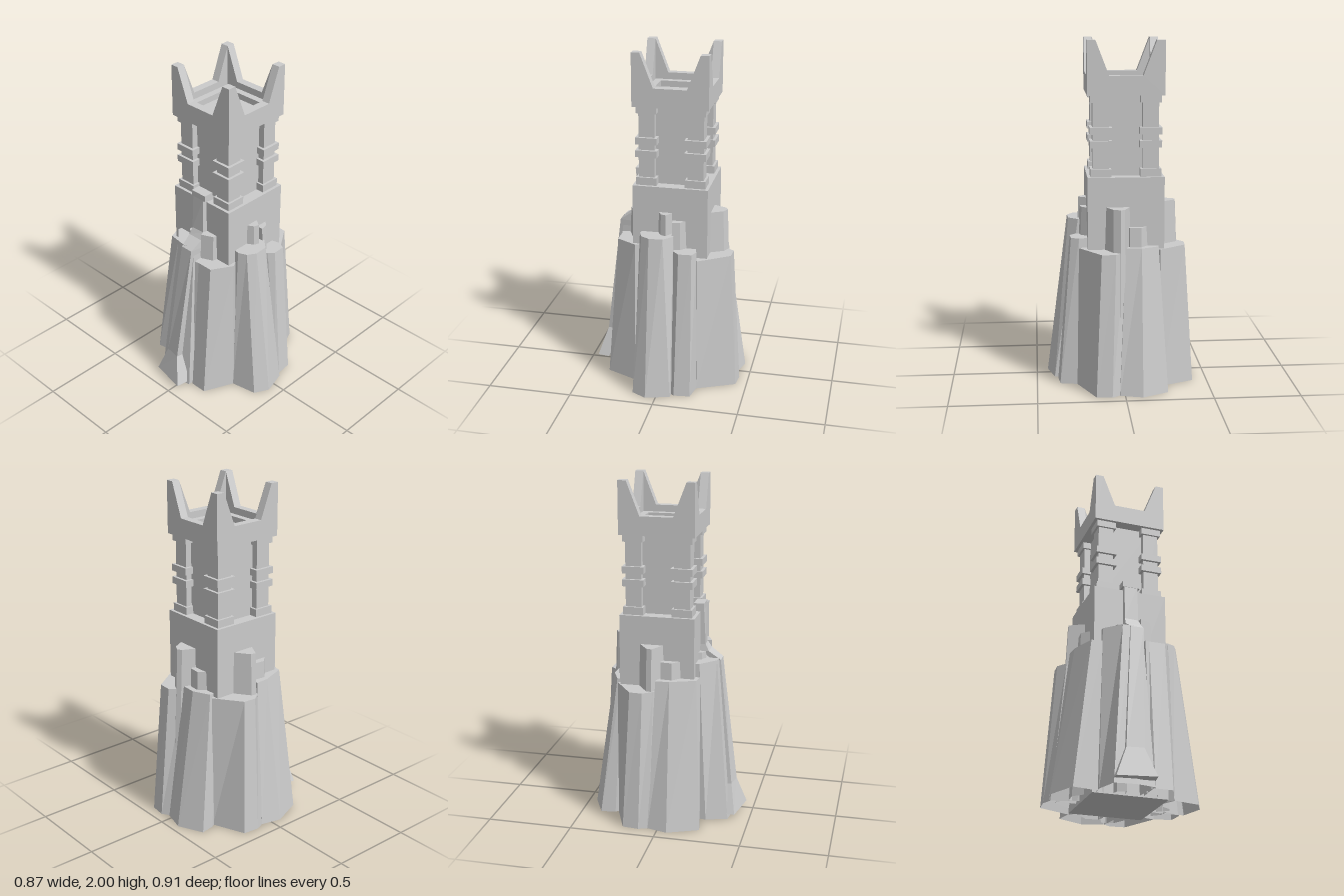
import * as THREE from 'three';

const CX = -0.017, CZ = -0.04, HALF = 0.218, WALL = 0.048;
const mat = new THREE.MeshStandardMaterial({ color: 0xcccccc, flatShading: true, side: THREE.DoubleSide });

function add(parent, geometry, name, x = 0, y = 0, z = 0) {
  const mesh = new THREE.Mesh(geometry, mat);
  mesh.name = name;
  mesh.position.set(x, y, z);
  parent.add(mesh);
  return mesh;
}

// box given by its width, depth and vertical range
function block(parent, name, w, d, y0, y1, x = 0, z = 0) {
  return add(parent, new THREE.BoxGeometry(w, y1 - y0, d), name, x, (y0 + y1) / 2, z);
}

function triangles(points) {
  const g = new THREE.BufferGeometry().setFromPoints(points);
  g.computeVertexNormals();
  return g;
}

// tapered rock: base and top outlines [x, z] running counter-clockwise, cap closed towards the tower axis
function rock(parent, name, height, base, top) {
  const b = base.map(([x, z]) => new THREE.Vector3(x, 0, z));
  const t = top.map(([x, z]) => new THREE.Vector3(x, height, z));
  const c = new THREE.Vector3(CX, height, CZ);
  const tris = [];
  for (let i = 0; i < b.length - 1; i++) {
    tris.push(b[i], b[i + 1], t[i + 1], b[i], t[i + 1], t[i], c, t[i], t[i + 1]);
  }
  add(parent, triangles(tris), name);
}

// slim rock leaning on the tower wall, slightly wider at the foot
function spike(parent, height, top) {
  const base = top.map(([x, z]) => [CX + (x - CX) * 1.15, CZ + (z - CZ) * 1.15]);
  rock(parent, 'rockSpike', height, base, top);
}

function buildTower() {
  const tower = new THREE.Group();
  tower.name = 'tower';
  tower.position.set(CX, 0, CZ);
  block(tower, 'towerShaft', HALF * 2, HALF * 2, 0, 1.235);
  block(tower, 'upperCore', 0.3, 0.3, 1.235, 1.7);

  // corner pillars with foot, two bands and capital
  for (const sx of [-1, 1]) for (const sz of [-1, 1]) {
    const pillar = new THREE.Group();
    pillar.name = 'cornerPillar';
    pillar.position.set(sx * 0.141, 0, sz * 0.141);
    tower.add(pillar);
    block(pillar, 'pillarShaft', 0.092, 0.092, 1.235, 1.695);
    for (const [y0, y1, w] of [[1.235, 1.28, 0.118], [1.4, 1.44, 0.125], [1.475, 1.515, 0.125], [1.655, 1.695, 0.118]]) {
      block(pillar, 'pillarBand', w, w, y0, y1);
    }
  }

  // crown walls rising to spikes at the corners
  const profile = new THREE.Shape([
    [-HALF, 1.695], [HALF, 1.695], [HALF, 2], [HALF - WALL, 2], [0.095, 1.805],
    [-0.095, 1.805], [-HALF + WALL, 2], [-HALF, 2],
  ].map(([x, y]) => new THREE.Vector2(x, y)));
  const wallGeo = new THREE.ExtrudeGeometry(profile, { depth: WALL, bevelEnabled: false });
  wallGeo.translate(0, 0, HALF - WALL);
  for (let i = 0; i < 4; i++) add(tower, wallGeo, 'crownWall').rotation.y = i * Math.PI / 2;

  // roof floor with a sunken square
  block(tower, 'roofFloor', 0.36, 0.36, 1.695, 1.73);
  for (let i = 0; i < 4; i++) {
    const side = new THREE.Group();
    side.name = 'roofLedge';
    side.rotation.y = i * Math.PI / 2;
    block(side, 'roofLedgeStrip', 0.36, 0.05, 1.73, 1.765, 0, 0.155);
    tower.add(side);
  }
  return tower;
}

function buildRocks() {
  const rocks = new THREE.Group();
  rocks.name = 'rocks';
  rock(rocks, 'backLeftRock', 0.84,
    [[0.05, -0.3], [0.03, -0.42], [-0.1, -0.455], [-0.25, -0.385], [-0.235, -0.3], [-0.19, -0.22]],
    [[0.02, -0.25], [-0.01, -0.325], [-0.1, -0.33], [-0.2, -0.285], [-0.2, -0.26], [-0.17, -0.2]]);
  rock(rocks, 'leftBackRock', 0.82,
    [[-0.19, -0.24], [-0.22, -0.285], [-0.415, -0.205], [-0.425, -0.11], [-0.4, -0.05], [-0.25, 0]],
    [[-0.18, -0.22], [-0.21, -0.28], [-0.365, -0.17], [-0.37, -0.095], [-0.33, -0.04], [-0.22, 0]]);
  rock(rocks, 'leftFrontRock', 0.88,
    [[-0.25, -0.06], [-0.405, -0.06], [-0.435, 0.06], [-0.36, 0.24], [-0.19, 0.21], [-0.15, 0.15]],
    [[-0.22, -0.03], [-0.315, -0.03], [-0.31, 0.05], [-0.255, 0.195], [-0.19, 0.205], [-0.15, 0.15]]);
  rock(rocks, 'frontLeftRock', 0.96,
    [[-0.21, 0.17], [-0.22, 0.25], [-0.18, 0.375], [-0.06, 0.39], [0.05, 0.37], [0.05, 0.2]],
    [[-0.19, 0.15], [-0.19, 0.2], [-0.1, 0.285], [-0.05, 0.29], [0.02, 0.28], [0.04, 0.17]]);
  rock(rocks, 'frontRightRock', 0.88,
    [[0.03, 0.24], [0.04, 0.33], [0.06, 0.35], [0.16, 0.35], [0.24, 0.17], [0.2, 0.1]],
    [[0.02, 0.2], [0.035, 0.285], [0.06, 0.28], [0.155, 0.28], [0.225, 0.16], [0.19, 0.1]]);
  rock(rocks, 'rightFrontRock', 0.96,
    [[0.19, 0.13], [0.235, 0.175], [0.39, 0.145], [0.435, 0.06], [0.395, -0.08], [0.29, -0.09], [0.2, -0.08]],
    [[0.17, 0.12], [0.23, 0.13], [0.28, 0.11], [0.31, 0.06], [0.305, -0.02], [0.25, -0.07], [0.18, -0.07]]);
  rock(rocks, 'rightBackRock', 0.875,
    [[0.25, -0.04], [0.36, -0.08], [0.375, -0.1], [0.365, -0.195], [0.26, -0.215], [0.19, -0.2]],
    [[0.22, -0.03], [0.27, -0.08], [0.3, -0.11], [0.295, -0.185], [0.25, -0.205], [0.19, -0.19]]);
  rock(rocks, 'backRightRock', 0.82,
    [[0.2, -0.18], [0.265, -0.215], [0.165, -0.435], [0.075, -0.445], [0.02, -0.41], [-0.03, -0.25]],
    [[0.19, -0.17], [0.25, -0.21], [0.13, -0.385], [0.05, -0.39], [-0.005, -0.32], [-0.03, -0.24]]);

  // taller slim rocks against the walls
  spike(rocks, 1.065, [[0.1, -0.25], [0.06, -0.325], [0.02, -0.345], [-0.005, -0.33], [-0.04, -0.25]]);
  spike(rocks, 0.95, [[-0.02, -0.25], [-0.035, -0.29], [-0.1, -0.295], [-0.14, -0.25]]);
  spike(rocks, 1.07, [[-0.23, -0.14], [-0.315, -0.08], [-0.32, -0.05], [-0.23, 0]]);
  spike(rocks, 0.98, [[-0.23, -0.02], [-0.27, -0.01], [-0.275, 0.055], [-0.23, 0.1]]);
  spike(rocks, 1.0, [[-0.11, 0.17], [-0.1, 0.195], [-0.06, 0.215], [-0.05, 0.17]]);
  spike(rocks, 1.04, [[0.02, 0.17], [0.03, 0.23], [0.1, 0.2], [0.105, 0.17]]);
  spike(rocks, 1.085, [[0.19, 0.03], [0.235, 0.005], [0.245, -0.025], [0.19, -0.06]]);
  spike(rocks, 1.04, [[0.19, -0.06], [0.24, -0.06], [0.23, -0.105], [0.19, -0.14]]);
  return rocks;
}

// ramp strip running down the front: [y, left x, right x, left z, right z]
function buildFrontStrip() {
  const strip = new THREE.Group();
  strip.name = 'frontStrip';
  const loops = [
    [0.03, -0.18, 0.035, 0.415, 0.455], [0.2, -0.115, -0.02, 0.385, 0.4], [0.95, -0.058, 0.02, 0.3, 0.3],
    [1.0, -0.065, 0.03, 0.23, 0.23], [1.04, -0.06, 0.022, 0.21, 0.205], [1.26, -0.06, 0.02, 0.198, 0.198],
  ].map(([y, x0, x1, z0, z1]) => [
    new THREE.Vector3(x0, y, z0), new THREE.Vector3(x1, y, z1),
    new THREE.Vector3(x1 + 0.012, y, z1 - 0.07), new THREE.Vector3(x0, y, z0 - 0.05),
  ]);
  const tris = [];
  for (let i = 0; i < loops.length - 1; i++) for (let k = 0; k < 4; k++) {
    const a = loops[i], b = loops[i + 1], n = (k + 1) % 4;
    tris.push(a[k], a[n], b[n], a[k], b[n], b[k]);
  }
  const [p, q, r, s] = loops[0];
  tris.push(p, s, r, p, r, q);
  add(strip, triangles(tris), 'stripSlope');
  block(strip, 'stripCap', 0.105, 0.06, 1.25, 1.285, -0.018, 0.17);
  return strip;
}

export function createModel() {
  const model = new THREE.Group();
  model.name = 'rockTower';
  model.add(buildTower(), buildRocks(), buildFrontStrip());
  return model;
}
